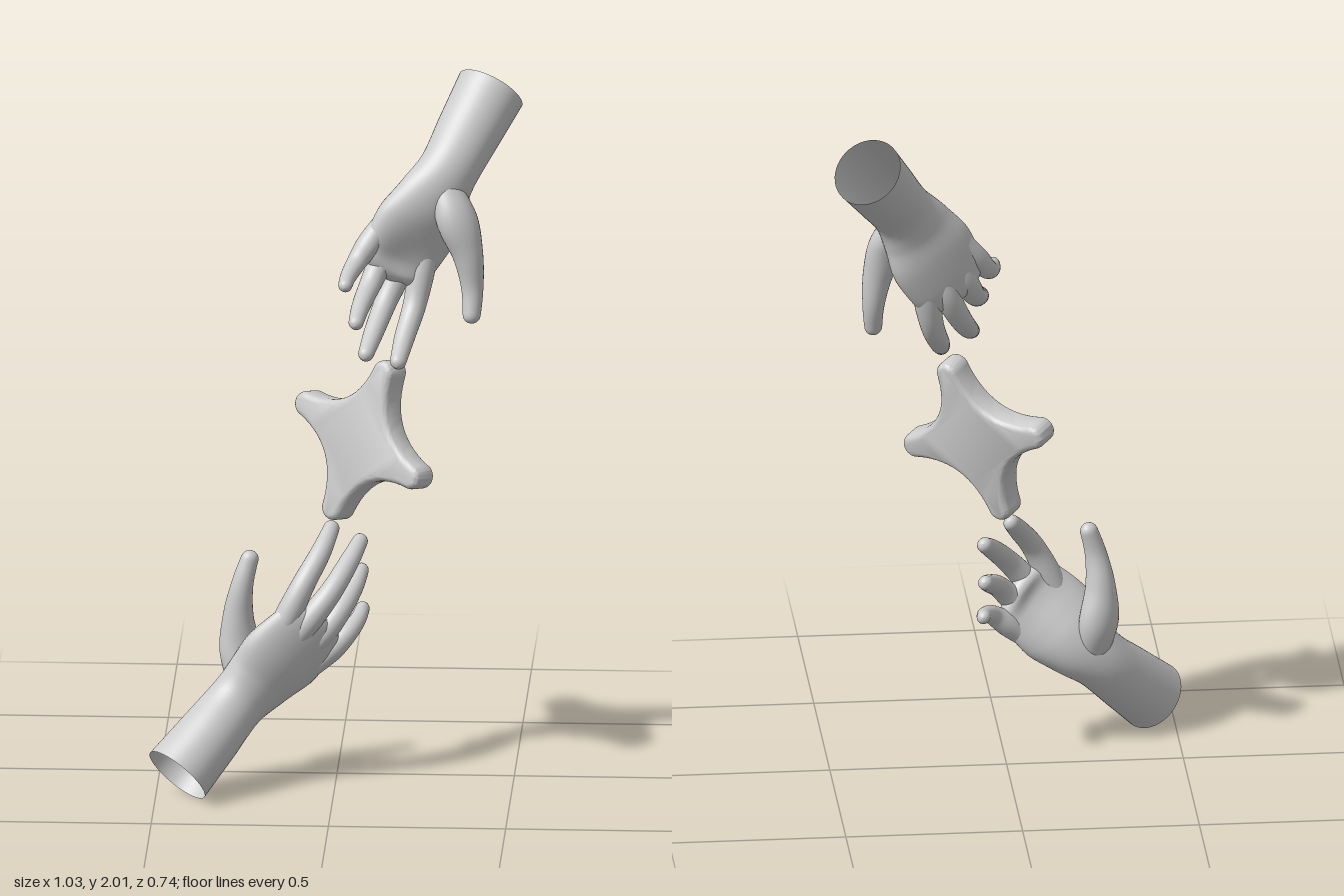
import * as THREE from 'three';
import { toCreasedNormals } from 'three/addons/utils/BufferGeometryUtils.js';

const V = (a) => new THREE.Vector3(a[0], a[1], a[2]);
const plaster = new THREE.MeshStandardMaterial({ color: 0xcccccc, side: THREE.DoubleSide });
plaster.name = 'plaster grey';

// Smooth skin swept through sections [x, y, z, half width, half thickness], open at the
// start and rounded at the tip. 'hollow' dents the palm side over the second half.
function loft(sections, widthDir, map, palmSide, hollow = 0, rings = 32, sides = 28) {
  const path = new THREE.CatmullRomCurve3(sections.map((s) => V(s).applyMatrix4(map)));
  const size = new THREE.CatmullRomCurve3(sections.map((s) => new THREE.Vector3(s[3], s[4], 0)));
  const across = V(widthDir).transformDirection(map);
  const end = path.getPoint(1);
  const pos = [], index = [];
  for (let i = 0; i <= rings; i++) {
    const t = 1 - Math.pow(1 - i / rings, 1.5);
    const p = path.getPoint(t), r = size.getPoint(t), axis = path.getTangent(t);
    const u = across.clone().addScaledVector(axis, -across.dot(axis)).normalize();
    const n = new THREE.Vector3().crossVectors(axis, u);
    const d = p.distanceTo(end), cap = Math.min(r.x, r.y);
    const f = d < cap ? Math.sqrt(Math.max(0, 1 - ((cap - d) / cap) ** 2)) : 1;
    const dent = hollow * Math.exp(-(((t - 0.75) / 0.15) ** 2));
    for (let j = 0; j < sides; j++) {
      const a = (j / sides) * Math.PI * 2, s = Math.sin(a);
      const k = 1 - dent * Math.max(0, s * palmSide) ** 3;
      const q = p.clone().addScaledVector(u, Math.cos(a) * r.x * f).addScaledVector(n, s * r.y * f * k);
      pos.push(q.x, q.y, q.z);
      if (i < rings) {
        const j2 = (j + 1) % sides, A = i * sides + j, B = i * sides + j2;
        index.push(A, B, B + sides, A, B + sides, A + sides);
      }
    }
  }
  const g = new THREE.BufferGeometry();
  g.setAttribute('position', new THREE.Float32BufferAttribute(pos, 3));
  g.setIndex(index);
  g.computeVertexNormals();
  return g;
}

// Direction from little finger to thumb across the palm
const ACROSS = [0.78, -0.5, -0.37];

const ARM = [
  [0.42, 1.94, -0.29, 0.1, 0.097],
  [0.36, 1.84, -0.2, 0.093, 0.088],
  [0.31, 1.755, -0.125, 0.088, 0.076],
  [0.265, 1.68, -0.093, 0.108, 0.068],
  [0.22, 1.6, -0.083, 0.13, 0.06],
  [0.175, 1.52, -0.07, 0.122, 0.048],
  [0.152, 1.48, -0.058, 0.1, 0.04],
  [0.138, 1.452, -0.045, 0.085, 0.034],
];

// Each finger starts inside the palm and ends at its tip
const FINGERS = {
  indexFinger: [
    [0.25, 1.56, -0.105, 0.032, 0.03], [0.235, 1.47, -0.095, 0.038, 0.037],
    [0.215, 1.37, -0.065, 0.033, 0.033], [0.19, 1.295, 0.005, 0.029, 0.029], [0.173, 1.238, 0.1, 0.022, 0.02],
  ],
  middleFinger: [
    [0.205, 1.55, -0.1, 0.03, 0.028], [0.172, 1.465, -0.085, 0.036, 0.036],
    [0.135, 1.385, -0.045, 0.032, 0.032], [0.105, 1.32, 0.04, 0.028, 0.028], [0.083, 1.272, 0.135, 0.021, 0.02],
  ],
  ringFinger: [
    [0.16, 1.58, -0.075, 0.03, 0.028], [0.122, 1.505, -0.055, 0.035, 0.035],
    [0.093, 1.445, -0.015, 0.031, 0.031], [0.07, 1.405, 0.07, 0.026, 0.026], [0.058, 1.375, 0.162, 0.02, 0.019],
  ],
  littleFinger: [
    [0.13, 1.62, -0.055, 0.03, 0.028], [0.087, 1.56, -0.03, 0.034, 0.034],
    [0.055, 1.515, 0.0, 0.028, 0.028], [0.035, 1.492, 0.06, 0.023, 0.023], [0.027, 1.48, 0.135, 0.019, 0.018],
  ],
  thumb: [
    [0.3, 1.71, -0.085, 0.05, 0.045], [0.335, 1.63, -0.05, 0.062, 0.05], [0.367, 1.53, -0.04, 0.044, 0.042],
    [0.38, 1.43, -0.035, 0.031, 0.031], [0.378, 1.335, -0.012, 0.024, 0.022],
  ],
};

// Local frame of a hand from its arm end, index tip and thumb tip
function handFrame(arm, tip, thumb) {
  const o = V(arm), x = V(tip).sub(o).normalize(), y = V(thumb).sub(o);
  y.addScaledVector(x, -x.dot(y)).normalize();
  return new THREE.Matrix4().makeBasis(x, y, new THREE.Vector3().crossVectors(x, y)).setPosition(o);
}

function makeHand(name, map, palmSide) {
  const hand = new THREE.Group();
  hand.name = name;
  const add = (part, geo) => {
    const m = new THREE.Mesh(geo, plaster);
    m.name = part;
    hand.add(m);
  };
  add('forearmAndPalm', loft(ARM, ACROSS, map, palmSide, 0.45, 48, 40));
  for (const [part, sections] of Object.entries(FINGERS)) {
    add(part, loft(sections, ACROSS, map, palmSide));
  }
  return hand;
}

// Four-pointed plate with concave sides and softly rounded edges
function makeStar() {
  const L = 0.215, r = 0.036, c = 0.055;
  const shape = new THREE.Shape();
  shape.moveTo(L, -r);
  for (let i = 0; i < 4; i++) {
    const a = (i * Math.PI) / 2, co = Math.cos(a), si = Math.sin(a);
    const R = (x, y) => [x * co - y * si, x * si + y * co];
    shape.absarc(...R(L, 0), r, a - Math.PI / 2, a + Math.PI / 2, false);
    shape.quadraticCurveTo(...R(c, c), ...R(r, L));
  }
  const geo = new THREE.ExtrudeGeometry(shape, {
    depth: 0.044, bevelThickness: 0.02, bevelSize: 0.02, bevelOffset: -0.02, bevelSegments: 5, curveSegments: 14,
  });
  geo.translate(0, 0, -0.022);
  const star = new THREE.Mesh(toCreasedNormals(geo, 0.6), plaster);
  star.name = 'star';
  const x = new THREE.Vector3(0.72, -0.29, 0.635).normalize();
  const y = new THREE.Vector3(0.313, 0.95, 0.03);
  y.addScaledVector(x, -x.dot(y)).normalize();
  const z = new THREE.Vector3().crossVectors(x, y);
  star.quaternion.setFromRotationMatrix(new THREE.Matrix4().makeBasis(x, y, z));
  star.position.set(0.077, 0.997, 0.018);
  return star;
}

export function createModel() {
  const model = new THREE.Group();
  model.name = 'handsAndStar';
  // The lower hand is the mirror image of the upper one, turned to reach upwards
  const upper = handFrame([0.42, 1.94, -0.29], [0.175, 1.245, 0.09], [0.378, 1.345, -0.015]);
  const lower = handFrame([-0.437, 0.083, 0.285], [-0.01, 0.742, 0.005], [-0.245, 0.68, 0.1]);
  const mirror = new THREE.Matrix4().makeScale(1, 1, -1);
  const toLower = lower.multiply(mirror).multiply(upper.invert());
  model.add(makeHand('upperHand', new THREE.Matrix4(), 1));
  model.add(makeHand('lowerHand', toLower, -1));
  model.add(makeStar());
  return model;
}
